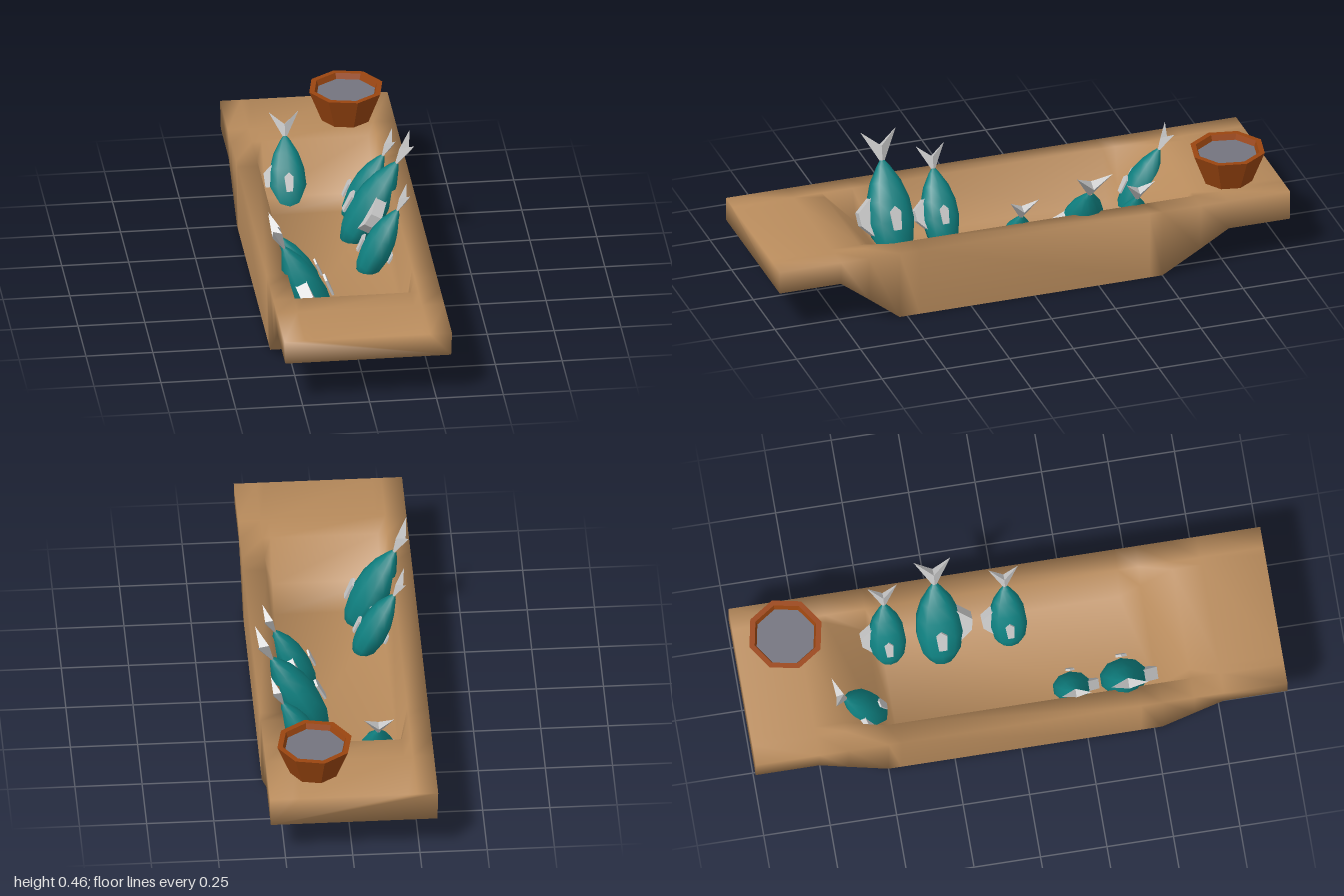
import * as THREE from 'three';

const mat = (name, color, side = THREE.FrontSide) => {
  const m = new THREE.MeshStandardMaterial({ color, side });
  m.name = name;
  return m;
};

const add = (parent, name, geometry, material) => {
  const mesh = new THREE.Mesh(geometry, material);
  mesh.name = name;
  parent.add(mesh);
  return mesh;
};

const faceted = (g) => {
  const flat = g.index ? g.toNonIndexed() : g;
  flat.computeVertexNormals();
  return flat;
};

const fromFaces = (points, index) => {
  const g = new THREE.BufferGeometry();
  g.setAttribute('position', new THREE.Float32BufferAttribute(points.flat(), 3));
  g.setIndex(index);
  g.computeVertexNormals();
  return g;
};

// Hull: one shell lofted through cross-sections from bow to stern, open underneath
function hullGeometry() {
  const top = 0.268;
  const stations = [ // z, underside height, inner floor height
    [1, 0.178, top], [0.76, 0.178, top], [0.65, 0.094, top], [0.53, 0, 0.144],
    [0.45, 0, 0.06], [-0.45, 0, 0.06], [-0.5, 0, 0.11],
    [-0.65, 0.087, top], [-0.76, 0.153, top], [-1, 0.153, top],
  ];
  const points = [], index = [], n = 8;
  for (const [z, low, floor] of stations) {
    points.push(
      [0.305, low, z], [0.308, top, z], [0.225, top, z], [0.195, floor, z],
      [-0.205, floor, z], [-0.24, top, z], [-0.318, top, z], [-0.315, low, z],
    );
  }
  for (let i = 0; i < stations.length - 1; i++) {
    const openBelow = stations[i][1] === 0 && stations[i + 1][1] === 0;
    for (let j = 0; j < n; j++) {
      if (j === n - 1 && openBelow) continue;
      const k = (j + 1) % n;
      const a = i * n + j, b = a + n, c = (i + 1) * n + k, d = i * n + k;
      index.push(a, b, d, b, c, d);
    }
  }
  // End caps
  const last = (stations.length - 1) * n;
  for (let k = 1; k < n - 1; k++) {
    index.push(0, k, k + 1, last, last + k + 1, last + k);
  }
  return fromFaces(points, index);
}

// Fish body stands head down along local y, deep along x, thin along z
const LENGTH = 0.38;
function bodyGeometry() {
  const profile = [
    [0, 0], [0.045, 0.015], [0.075, 0.07], [0.09, 0.15],
    [0.083, 0.23], [0.06, 0.3], [0.025, 0.36], [0.01, LENGTH],
  ].map(([r, y]) => new THREE.Vector2(r, y));
  return new THREE.LatheGeometry(profile, 10).scale(1, 1, 0.78);
}

// Forked tail with a thick middle
function tailGeometry() {
  const points = [
    [0, LENGTH - 0.02, 0], [0.07, LENGTH + 0.115, 0], [-0.07, LENGTH + 0.115, 0],
    [0, LENGTH + 0.055, 0.02], [0, LENGTH + 0.055, -0.02],
  ];
  return faceted(fromFaces(points, [0, 1, 3, 0, 3, 2, 0, 4, 1, 0, 2, 4, 1, 4, 3, 2, 3, 4]));
}

// Thin fin plate from an outline
function finGeometry(outline, depth) {
  const shape = new THREE.Shape(outline.map(([x, y]) => new THREE.Vector2(x, y)));
  return new THREE.ExtrudeGeometry(shape, { depth, bevelEnabled: false }).translate(0, 0, -depth / 2);
}

export function createModel() {
  const model = new THREE.Group();
  model.name = 'fishingBoat';
  const wood = mat('wood', 0xb88b5c, THREE.DoubleSide);
  const teal = mat('fishTeal', 0x0f8080);
  const grey = mat('finGrey', 0xc8c8c8);
  const clay = mat('bowlBrown', 0x9a4510);
  const water = mat('bowlFilling', 0x74747f);

  add(model, 'hull', hullGeometry(), wood);

  // Fish: tail base, head, direction of the back fin, size
  const body = bodyGeometry(), tail = tailGeometry();
  const backFin = finGeometry([[0.07, 0.1], [0.12, 0.15], [0.125, 0.2], [0.07, 0.25]], 0.045);
  const sideFin = finGeometry([[-0.015, 0.12], [0.015, 0.12], [0.022, 0.19], [0, 0.21], [-0.02, 0.19]], 0.009);
  const catchOfDay = [
    [[-0.25, 0.36, 0.41], [-0.09, 0.02, 0.41], [0, 0, 1], 1],
    [[-0.235, 0.3, 0.215], [-0.1, 0.03, 0.215], [0, 0, 1], 0.8],
    [[0.25, 0.36, -0.235], [0.06, 0.03, -0.235], [0, 0, 1], 1],
    [[0.222, 0.295, 0.025], [0.09, 0.03, 0.025], [0, 0, -1], 0.8],
    [[0.222, 0.295, -0.43], [0.09, 0.03, -0.43], [0, 0, -1], 0.8],
    [[-0.12, 0.295, -0.63], [-0.12, 0.03, -0.49], [-1, 0, 0], 0.8],
  ];
  for (const [tailBase, head, back, size] of catchOfDay) {
    const fish = new THREE.Group();
    fish.name = 'fish';
    const up = new THREE.Vector3(...tailBase).sub(new THREE.Vector3(...head)).normalize();
    const side = new THREE.Vector3(...back);
    const basis = new THREE.Matrix4().makeBasis(side, up, side.clone().cross(up));
    fish.quaternion.setFromRotationMatrix(basis);
    fish.position.set(...tailBase).addScaledVector(up, -LENGTH * size);
    fish.scale.setScalar(size);
    add(fish, 'fishBody', body, teal);
    add(fish, 'tailFin', tail, grey);
    add(fish, 'backFin', backFin, grey);
    for (const s of [-1, 1]) {
      const fin = add(fish, 'sideFin', sideFin, grey);
      fin.position.set(0, 0, s * 0.074);
      fin.rotation.x = s * 0.05;
    }
    model.add(fish);
  }

  // Eight-sided bowl on the stern deck
  const bowl = new THREE.Group();
  bowl.name = 'bowl';
  bowl.position.set(0.13, 0.268, -0.815);
  bowl.rotation.y = 0.2;
  const rim = [[0, 0], [0.094, 0], [0.143, 0.124], [0.122, 0.124], [0.108, 0.085]]
    .map(([r, y]) => new THREE.Vector2(r, y));
  add(bowl, 'bowlWall', faceted(new THREE.LatheGeometry(rim, 8)), clay);
  const filling = add(bowl, 'bowlFilling', new THREE.CylinderGeometry(0.116, 0.112, 0.008, 8), water);
  filling.position.y = 0.098;
  model.add(bowl);

  return model;
}
